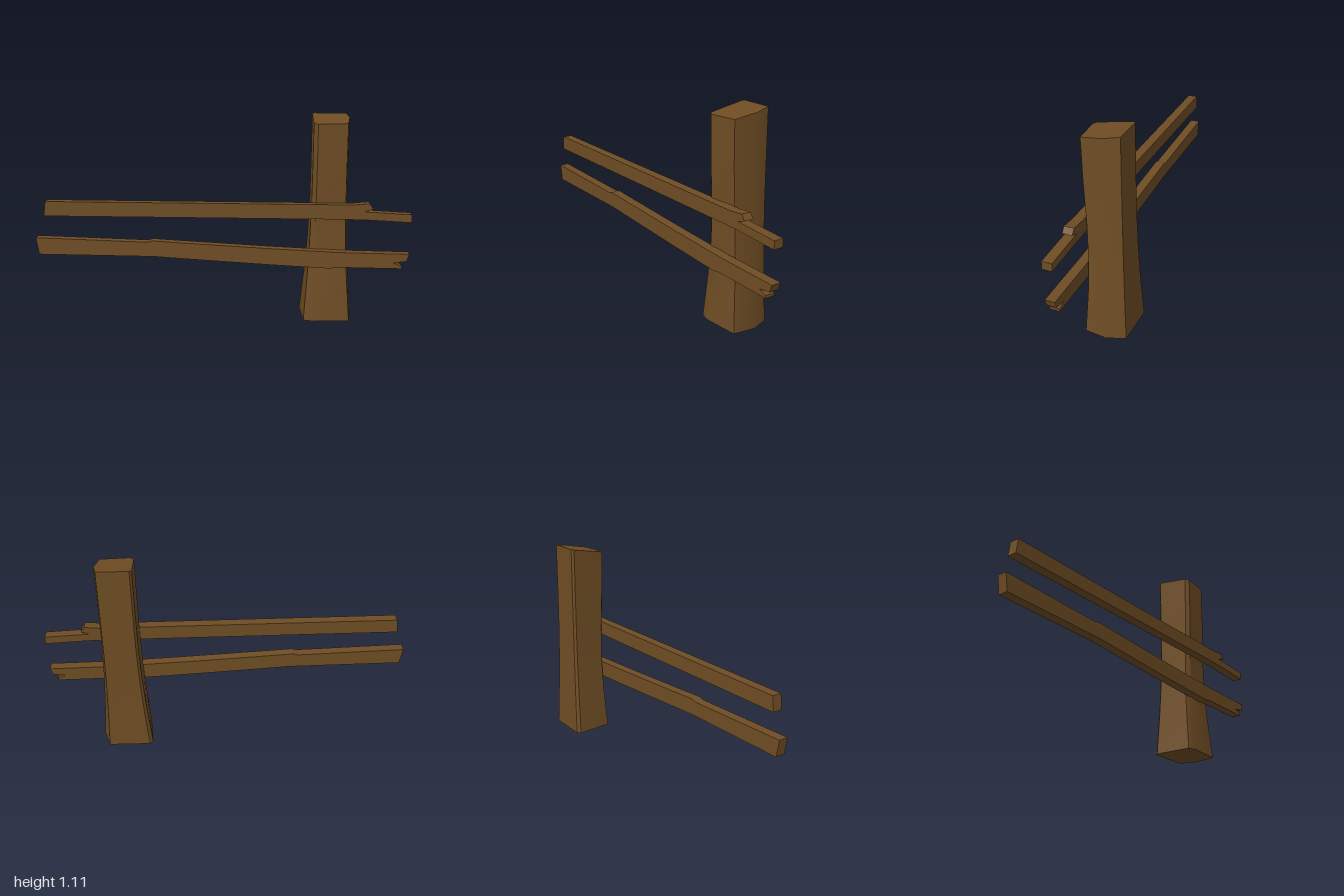
import * as THREE from 'three';
import { toCreasedNormals } from 'three/addons/utils/BufferGeometryUtils.js';

// Closed solid lofted through rings of [x, y, z], each counter-clockwise seen from above
function loft(rings) {
  const n = rings[0].length;
  const pos = rings.flat(2);
  const index = [];
  for (let r = 0; r < rings.length - 1; r++) {
    for (let i = 0; i < n; i++) {
      const a = r * n + i, b = r * n + (i + 1) % n;
      index.push(a, b, b + n, a, b + n, a + n);
    }
  }
  const top = (rings.length - 1) * n;
  for (let i = 1; i < n - 1; i++) {
    index.push(0, i + 1, i, top, top + i, top + i + 1);
  }
  const geo = new THREE.BufferGeometry();
  geo.setAttribute('position', new THREE.Float32BufferAttribute(pos, 3));
  geo.setIndex(index);
  return toCreasedNormals(geo, 0.5);
}

// Splintered plank cut from a side outline
function plank(name, outline, material) {
  const shape = new THREE.Shape(outline.map(([x, y]) => new THREE.Vector2(x, y)));
  const geo = new THREE.ExtrudeGeometry(shape, { depth: 0.053, bevelEnabled: false });
  geo.translate(0, 0, 0.079);
  const mesh = new THREE.Mesh(geo, material);
  mesh.name = name;
  return mesh;
}

export function createModel() {
  const wood = new THREE.MeshStandardMaterial({ color: 0x6f4d24 });
  wood.name = 'weathered wood';
  const group = new THREE.Group();
  group.name = 'brokenFence';

  // Post: a worn six-sided timber, flared at the foot, with a sloping top
  const foot = [[0.447, 0.09], [0.5, 0.105], [0.693, 0.088], [0.71, -0.03], [0.677, -0.128], [0.45, -0.132], [0.432, -0.115]];
  const head = [[0.478, 0.085], [0.5, 0.102], [0.655, 0.088], [0.673, -0.035], [0.657, -0.112], [0.49, -0.112], [0.478, -0.1]];
  // height, blend from foot to head, inward shift of the front
  const levels = [[0, 0, 0], [0.24, 0.5, 0.014], [0.42, 0.78, 0.018], [0.62, 0.95, 0.014], [0.85, 1, 0.004], [1.09, 1, 0]];
  const rings = levels.map(([y, t, dent], level) => foot.map(([fx, fz], i) => {
    const x = THREE.MathUtils.lerp(fx, head[i][0], t);
    let z = THREE.MathUtils.lerp(fz, head[i][1], t);
    if (z > 0.05) z -= dent;
    const slope = level === levels.length - 1 ? -0.18 * z : 0;
    return [x, y + slope, z];
  }));
  const post = new THREE.Mesh(loft(rings), wood);
  post.name = 'post';
  group.add(post);

  // Upper rail with a split right end
  group.add(plank('upperRail', [
    [-0.95, 0.576], [0.58, 0.578], [0.75, 0.577], [0.995, 0.565], [0.995, 0.608],
    [0.75, 0.62], [0.795, 0.635], [0.775, 0.664], [0.69, 0.656], [-0.94, 0.655],
  ], wood));

  // Lower rail, sagging to the right
  group.add(plank('lowerRail', [
    [-0.985, 0.363], [-0.36, 0.36], [-0.2, 0.35], [0.25, 0.325], [0.58, 0.309],
    [0.61, 0.316], [0.955, 0.314], [0.955, 0.329], [0.91, 0.345], [0.98, 0.355],
    [0.993, 0.394], [0.63, 0.398], [0.25, 0.414], [-0.25, 0.44], [-0.37, 0.447],
    [-0.4, 0.439], [-1, 0.455],
  ], wood));

  return group;
}
